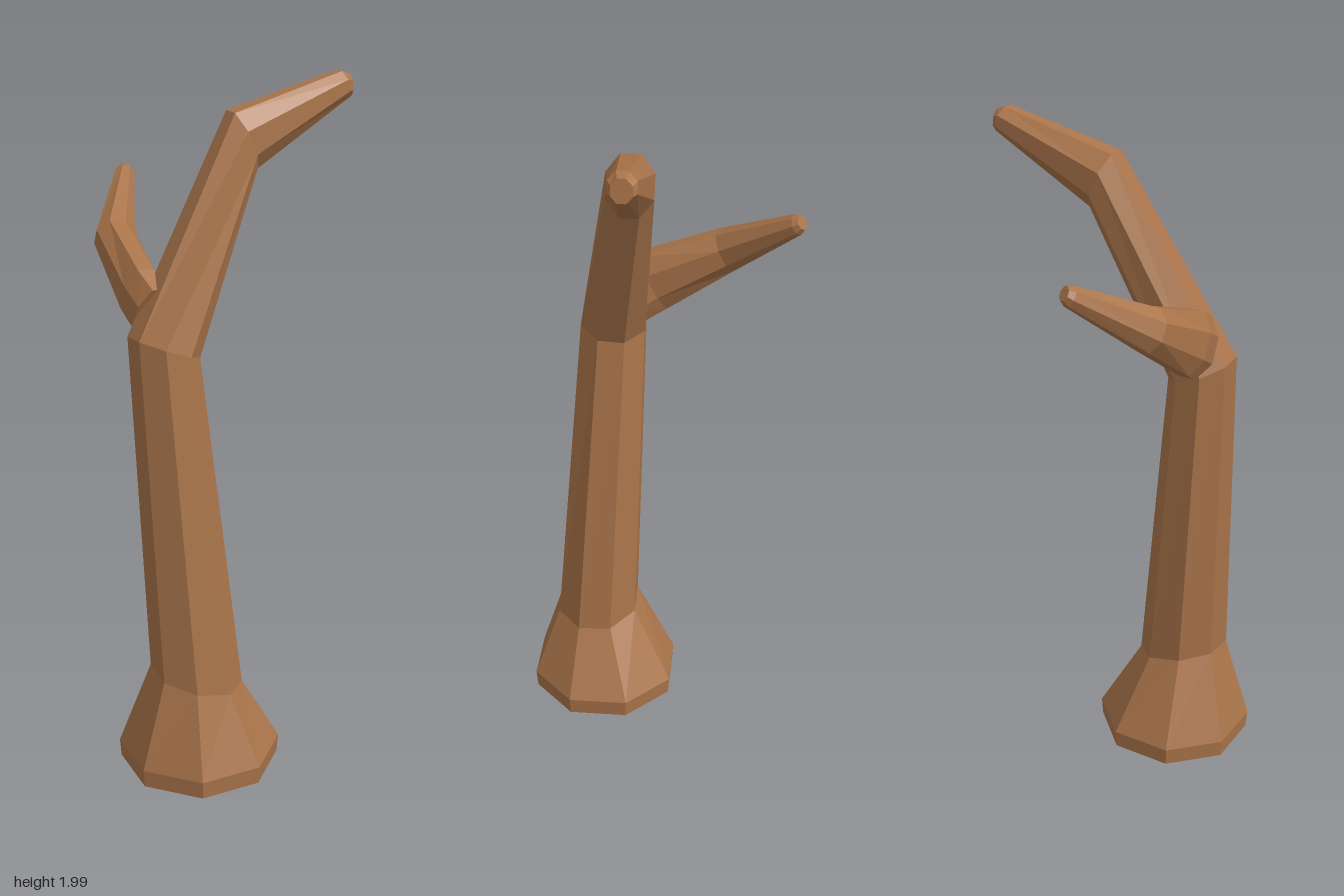
import * as THREE from 'three';

const SIDES = 8;

// Octagonal cross-section: centre c, facing n, half-widths ru (along ref) and rv
function ring({ c, n, ru, rv = ru }, ref) {
  const centre = new THREE.Vector3(...c);
  const normal = new THREE.Vector3(...n).normalize();
  const u = ref.clone().addScaledVector(normal, -ref.dot(normal)).normalize();
  const v = normal.clone().cross(u);
  return Array.from({ length: SIDES }, (_, i) => {
    const a = ((i + 0.5) / SIDES) * Math.PI * 2;
    return centre.clone()
      .addScaledVector(u, Math.cos(a) * ru)
      .addScaledVector(v, Math.sin(a) * rv);
  });
}

// Faceted limb skinned through a list of cross-sections, capped at both ends
function limb(name, sections, ref, material) {
  const rings = sections.map((s) => ring(s, ref));
  const points = [];
  for (let k = 0; k < rings.length - 1; k++) {
    const a = rings[k], b = rings[k + 1];
    for (let i = 0; i < SIDES; i++) {
      const j = (i + 1) % SIDES;
      points.push(a[i], a[j], b[j], a[i], b[j], b[i]);
    }
  }
  const first = rings[0], last = rings[rings.length - 1];
  for (let i = 1; i < SIDES - 1; i++) {
    points.push(first[0], first[i + 1], first[i]);
    points.push(last[0], last[i], last[i + 1]);
  }
  const geometry = new THREE.BufferGeometry().setFromPoints(points);
  geometry.computeVertexNormals();
  const mesh = new THREE.Mesh(geometry, material);
  mesh.name = name;
  return mesh;
}

export function createModel() {
  const group = new THREE.Group();
  group.name = 'bareTree';
  const bark = new THREE.MeshStandardMaterial({ color: 0xa9744a, flatShading: true });

  // Flared foot, leaning trunk and bent crown in one limb
  group.add(limb('trunk', [
    { c: [-0.158, 0.005, 0.183], n: [0, 1, 0], ru: 0.236 },
    { c: [-0.158, 0.06, 0.183], n: [0, 1, 0], ru: 0.24 },
    { c: [-0.175, 0.30, 0.203], n: [0.22, 0.97, 0.08], ru: 0.135, rv: 0.139 },
    { c: [-0.24, 1.305, 0.145], n: [0.36, 0.93, -0.08], ru: 0.103, rv: 0.104 },
    { c: [0.035, 1.836, 0.064], n: [0.91, 0.41, 0], ru: 0.072, rv: 0.092 },
    { c: [0.357, 1.963, 0.048], n: [0.93, 0.35, 0], ru: 0.041, rv: 0.042 },
    { c: [0.374, 1.959, 0.048], n: [0.98, 0.1, 0], ru: 0.03, rv: 0.034 },
  ], new THREE.Vector3(0, 0, 1), bark));

  // Side branch growing backwards and up
  group.add(limb('branch', [
    { c: [-0.245, 1.385, 0.1], n: [0, 0.45, -0.9], ru: 0.062, rv: 0.1 },
    { c: [-0.259, 1.425, 0.03], n: [0, 0.45, -0.9], ru: 0.058, rv: 0.1 },
    { c: [-0.246, 1.537, -0.185], n: [0.2, 0.45, -0.85], ru: 0.06, rv: 0.066 },
    { c: [-0.13, 1.673, -0.385], n: [0.48, 0.5, -0.75], ru: 0.03, rv: 0.03 },
    { c: [-0.122, 1.682, -0.397], n: [0.48, 0.5, -0.75], ru: 0.021, rv: 0.021 },
  ], new THREE.Vector3(1, 0, 0), bark));

  return group;
}
